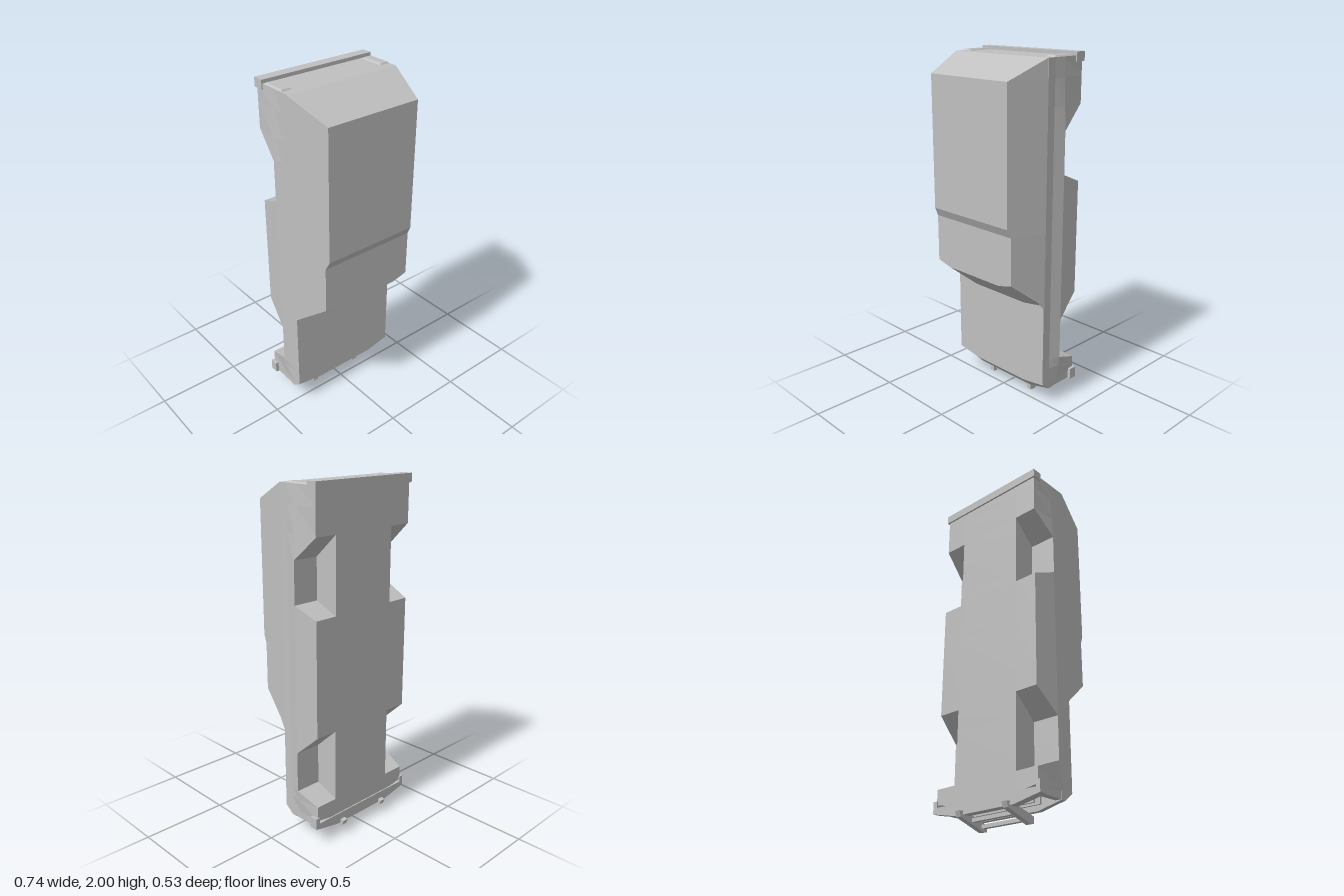
import * as THREE from 'three';

// Piecewise-linear lookup in a list of [key, value] pairs
function lerpTable(table, t) {
  if (t <= table[0][0]) return table[0][1];
  for (let i = 1; i < table.length; i++) {
    const [a, va] = table[i - 1], [b, vb] = table[i];
    if (t <= b) return va + (vb - va) * (t - a) / (b - a);
  }
  return table[table.length - 1][1];
}

// Flat-faced skin over equal-sized rings, closed at both ends
function loft(rings) {
  const pos = [], n = rings[0].length, last = rings.length - 1;
  const quad = (a, b, c, d) => pos.push(...a, ...b, ...c, ...a, ...c, ...d);
  for (let s = 0; s < last; s++) {
    for (let i = 0; i < n; i++) {
      const j = (i + 1) % n;
      quad(rings[s][i], rings[s + 1][i], rings[s + 1][j], rings[s][j]);
    }
  }
  for (let i = 0; i < n / 2 - 1; i++) {
    const f = rings[0], r = rings[last];
    quad(f[i], f[i + 1], f[n - 2 - i], f[n - 1 - i]);
    quad(r[n - 1 - i], r[n - 2 - i], r[i + 1], r[i]);
  }
  const g = new THREE.BufferGeometry();
  g.setAttribute('position', new THREE.Float32BufferAttribute(pos, 3));
  g.computeVertexNormals();
  return g;
}

// Car body standing on its nose: roof towards +z, nose towards -y
const roofZ = [[0.12, 0.035], [0.613, 0.035], [0.775, 0.24], [1.07, 0.24], [1.12, 0.265], [1.875, 0.265], [1.98, 0.032]];
const roofHalf = [[0.12, 0.35], [0.613, 0.35], [0.775, 0.297], [1.07, 0.297], [1.12, 0.29], [1.875, 0.29], [1.98, 0.348]];
const bulgeHalf = [[0.12, 0.352], [0.285, 0.368], [1.6, 0.368], [1.98, 0.35]];
const archZ = [[0.23, -0.23], [0.285, -0.088], [0.52, -0.088], [0.65, -0.23],
  [1.305, -0.23], [1.365, -0.088], [1.6, -0.088], [1.73, -0.23]];
const topBend = [[0.12, 0.025], [0.775, 0.025], [1.07, 0]];
const sideBend = [[0.12, 0.025], [0.23, 0]];

function bodyRing(y) {
  const zt = lerpTable(roofZ, y), w = lerpTable(roofHalf, y);
  const bulge = lerpTable(bulgeHalf, y), zc = lerpTable(archZ, y);
  const outer = 0.348 + (bulge - 0.348) * (zc + 0.23) / 0.142;
  const half = [[0.21, -0.23], [0.21, zc], [outer, zc], [bulge, -0.088],
    [0.35, -0.02], [0.35, 0.03], [w, zt], [0.2, zt]];
  const right = half.map(([x, z], i) => {
    const swept = lerpTable(i > 5 ? topBend : sideBend, y);
    return [x, y + swept * THREE.MathUtils.clamp((x - 0.2) / 0.1, 0, 1), z];
  });
  return [...right, ...right.map(([x, y2, z]) => [-x, y2, z]).reverse()];
}

export function createModel() {
  const model = new THREE.Group();
  const grey = new THREE.MeshStandardMaterial({ color: 0xc0c0c0 });
  grey.name = 'plain grey';
  const add = (name, geometry, x = 0, y = 0, z = 0) => {
    const mesh = new THREE.Mesh(geometry, grey);
    mesh.name = name;
    mesh.position.set(x, y, z);
    model.add(mesh);
  };

  // Shell with cabin, windscreen step and four wheel arches
  const stations = [...new Set([roofZ, bulgeHalf, archZ].flat().map(p => p[0]))].sort((a, b) => a - b);
  add('body', loft(stations.map(bodyRing)));

  // Swept nose lip below the bonnet edge
  add('noseLip', loft([-0.35, -0.2, 0.2, 0.35].map(x => {
    const k = Math.abs(x) > 0.3 ? 1 : 0;
    return [[x, 0.065 + 0.035 * k, -0.05], [x, 0.065 + 0.035 * k, -0.02],
      [x, 0.12 + 0.022 * k, 0.035], [x, 0.16, -0.05]];
  })));

  // Wrapped front bumper
  const bumper = new THREE.Shape([[-0.367, 0.165], [-0.367, 0.1], [-0.2, 0.067], [0.2, 0.067],
    [0.367, 0.1], [0.367, 0.165], [0.34, 0.165], [0.34, 0.13], [-0.34, 0.13], [-0.34, 0.165]]
    .map(([x, y]) => new THREE.Vector2(x, y)));
  add('frontBumper', new THREE.ExtrudeGeometry(bumper, { depth: 0.047, bevelEnabled: false }), 0, 0, -0.237);

  // Nose grille slats
  for (const z of [-0.09, -0.14]) add('grilleSlat', new THREE.BoxGeometry(0.5, 0.04, 0.012), 0, 0.105, z);

  // Rear bumper
  add('rearBumper', new THREE.BoxGeometry(0.714, 0.05, 0.062), 0, 1.975, -0.209);

  for (const side of [-1, 1]) {
    // Front cheeks between lip and bumper
    add('noseCheek', new THREE.BoxGeometry(0.04, 0.05, 0.15), side * 0.328, 0.127, -0.118);

    // Slanted bumper guards
    const guard = [[-0.25, 0.055], [-0.08, 0], [-0.055, 0.005], [-0.055, 0.04], [-0.225, 0.09], [-0.262, 0.085]];
    add('bumperGuard', loft([-0.016, 0.016].map(x => guard.map(([z, y]) => [x, y, z]))), side * 0.16);

    // Bevelled tail lights
    const plate = (hw, y, hd) => [[hw, y, -hd], [hw, y, hd], [-hw, y, hd], [-hw, y, -hd]];
    add('tailLight', loft([plate(0.032, 0, 0.074), plate(0.023, 0.01, 0.066)]), side * 0.317, 1.979, -0.093);
  }

  // Cross bars joining the guards
  for (const [y, z] of [[0.027, -0.085], [0.05, -0.155]]) {
    add('guardBar', new THREE.BoxGeometry(0.3, 0.02, 0.025), 0, y, z);
  }
  return model;
}
